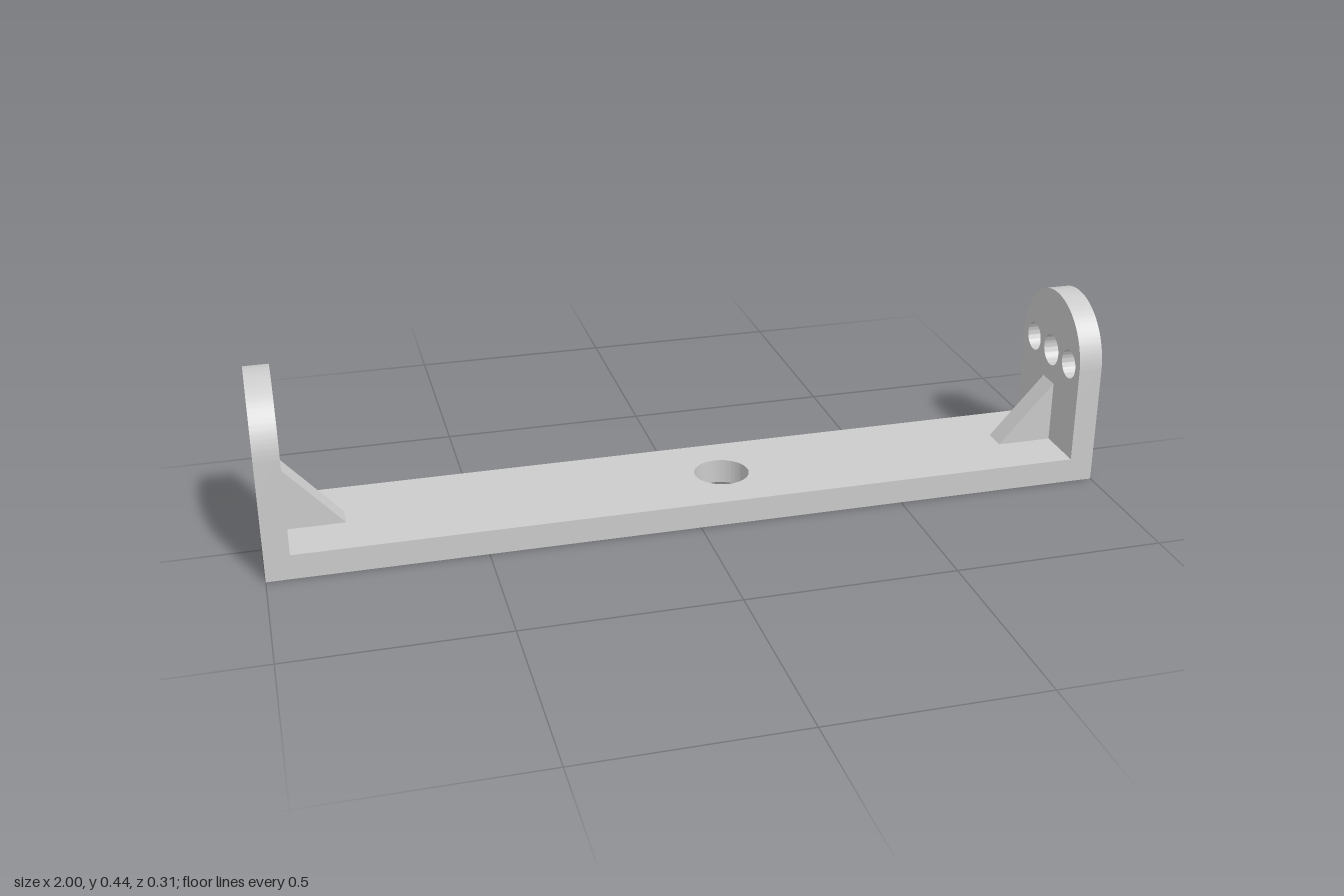
import * as THREE from 'three';
import { toCreasedNormals } from 'three/addons/utils/BufferGeometryUtils.js';

const HALF_W = 0.154;   // half depth in z
const BASE_H = 0.06;    // base thickness
const PLATE_T = 0.058;  // end plate thickness
const HOLE_Y = 0.29;    // height of the plate holes and centre of the round top

const material = new THREE.MeshStandardMaterial({ color: 0xcccccc });

// Extrude a shape, cutting round holes given as [x, y, radius]
function extrude(shape, depth, holes = []) {
  for (const [x, y, r] of holes) {
    shape.holes.push(new THREE.Path().absarc(x, y, r, 0, Math.PI * 2, true));
  }
  const geometry = new THREE.ExtrudeGeometry(shape, { depth, bevelEnabled: false, curveSegments: 48 });
  return toCreasedNormals(geometry, 0.5);
}

function addPart(group, name, geometry) {
  const mesh = new THREE.Mesh(geometry, material);
  mesh.name = name;
  group.add(mesh);
}

// Upright plate with a round top, standing on the base, from x to x + PLATE_T
function endPlate(x, holes) {
  const shape = new THREE.Shape()
    .moveTo(-HALF_W, BASE_H)
    .lineTo(HALF_W, BASE_H)
    .lineTo(HALF_W, HOLE_Y)
    .absarc(0, HOLE_Y, HALF_W, 0, Math.PI, false)
    .lineTo(-HALF_W, BASE_H);
  return extrude(shape, PLATE_T, holes).rotateY(Math.PI / 2).translate(x, 0, 0);
}

// Triangular brace between base and plate
function gusset(side) {
  const inner = 1 - PLATE_T, points = [[inner, BASE_H], [inner, 0.21], [0.808, BASE_H]];
  const shape = new THREE.Shape(points.map(([x, y]) => new THREE.Vector2(side * x, y)));
  return extrude(shape, 0.058).translate(0, 0, -0.029);
}

export function createModel() {
  const group = new THREE.Group();
  group.name = 'bracket';

  // Long flat base with an off-centre mounting hole
  const outline = new THREE.Shape()
    .moveTo(-1, -HALF_W).lineTo(1, -HALF_W).lineTo(1, HALF_W).lineTo(-1, HALF_W).closePath();
  addPart(group, 'base', extrude(outline, BASE_H, [[0.093, 0, 0.066]]).rotateX(-Math.PI / 2));

  // Three holes on the left plate, one on the right
  addPart(group, 'leftPlate', endPlate(1 - PLATE_T, [
    [-0.096, HOLE_Y, 0.0355], [0, HOLE_Y, 0.039], [0.096, HOLE_Y, 0.0355],
  ]));
  addPart(group, 'rightPlate', endPlate(-1, [[0, HOLE_Y, 0.0355]]));

  addPart(group, 'leftGusset', gusset(1));
  addPart(group, 'rightGusset', gusset(-1));
  return group;
}
